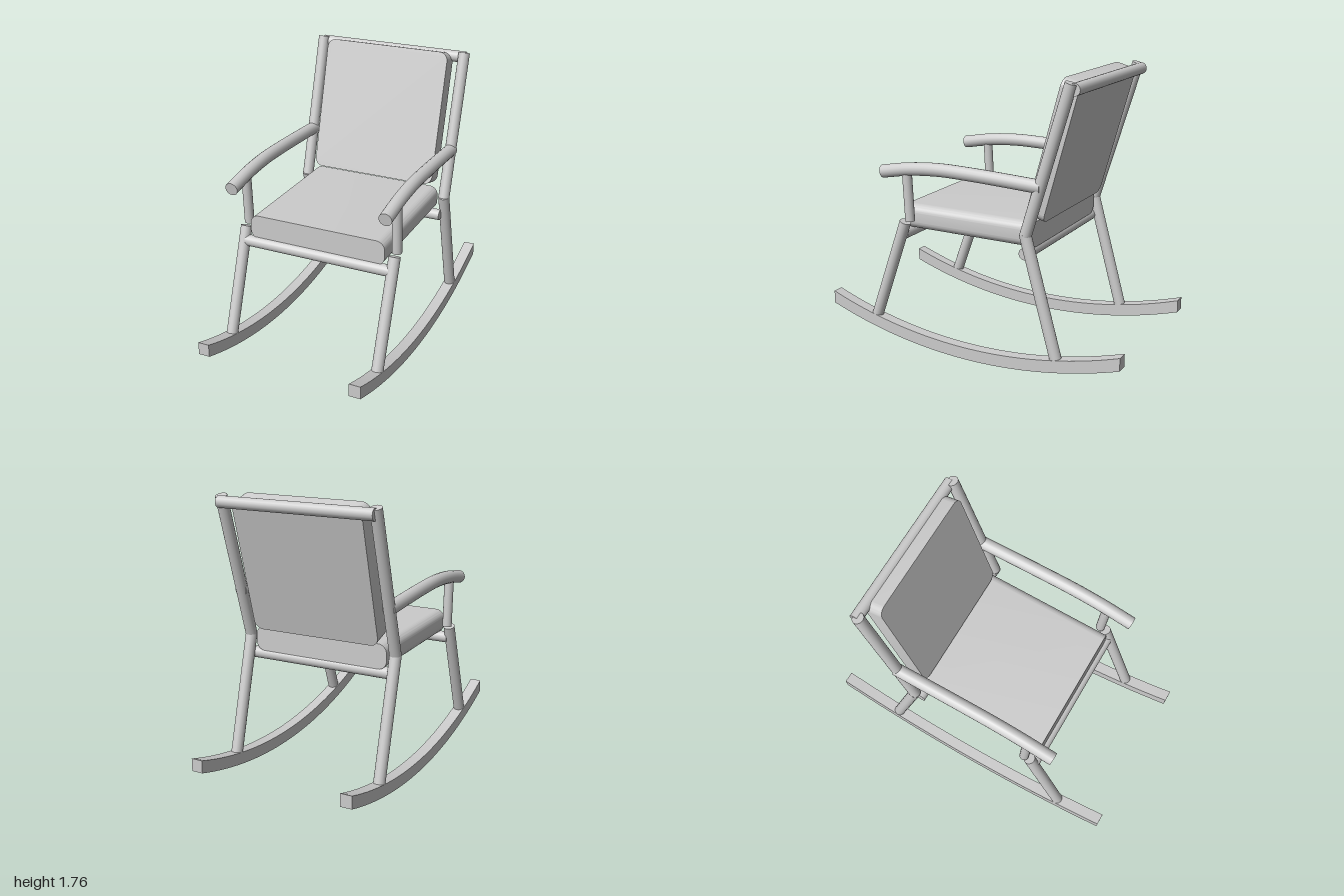
import * as THREE from 'three';
import { toCreasedNormals } from 'three/addons/utils/BufferGeometryUtils.js';

const material = new THREE.MeshStandardMaterial({ color: 0xcccccc });
const SIDE_X = 0.495; // centre line of each side frame
const ROD = 0.036;

function add(parent, name, geometry) {
  const mesh = new THREE.Mesh(geometry, material);
  mesh.name = name;
  parent.add(mesh);
  return mesh;
}

// Straight round rod between two points
function rod(parent, name, a, b, radius = ROD) {
  const start = new THREE.Vector3(...a);
  const dir = new THREE.Vector3(...b).sub(start);
  const mesh = add(parent, name, new THREE.CylinderGeometry(radius, radius, dir.length(), 20));
  mesh.position.copy(start).addScaledVector(dir, 0.5);
  mesh.quaternion.setFromUnitVectors(new THREE.Vector3(0, 1, 0), dir.normalize());
  return mesh;
}

// Slab with a rounded outline in x/y, centred, with depth along z
function cushion(width, height, depth, r) {
  const w = width / 2, h = height / 2;
  const shape = new THREE.Shape();
  shape.absarc(w - r, h - r, r, 0, Math.PI / 2);
  shape.absarc(-w + r, h - r, r, Math.PI / 2, Math.PI);
  shape.absarc(-w + r, -h + r, r, Math.PI, Math.PI * 1.5);
  shape.absarc(w - r, -h + r, r, Math.PI * 1.5, Math.PI * 2);
  const geometry = new THREE.ExtrudeGeometry(shape, { depth, bevelEnabled: false, curveSegments: 8 });
  geometry.translate(0, 0, -depth / 2);
  return toCreasedNormals(geometry, 0.6);
}

// Curved runner: two concentric arcs cut off vertically at the ends
function runnerGeometry() {
  const R = 3.05, thickness = 0.076, midZ = -0.05, width = 0.072, n = 32;
  const arc = (r) => Array.from({ length: n + 1 }, (_, i) => {
    const z = -1 + (2 * i) / n;
    return new THREE.Vector2(z, R - Math.sqrt(r * r - (z - midZ) ** 2));
  });
  const shape = new THREE.Shape([...arc(R), ...arc(R - thickness).reverse()]);
  const geometry = new THREE.ExtrudeGeometry(shape, { depth: width, bevelEnabled: false });
  geometry.translate(0, 0, -width / 2);
  geometry.rotateY(-Math.PI / 2);
  return toCreasedNormals(geometry, 0.6);
}

// Gently bowed round armrest with closed ends
function armrest(parent, x) {
  const radius = 0.041, sides = 16;
  const curve = new THREE.CatmullRomCurve3(
    [[0.6, 1.112], [0.4, 1.148], [0.2, 1.165], [0, 1.164], [-0.24, 1.156], [-0.485, 1.145]]
      .map(([z, y]) => new THREE.Vector3(x, y, z)));
  const group = new THREE.Group();
  group.name = 'armrest';
  add(group, 'armrestBar', new THREE.TubeGeometry(curve, 28, radius, sides));
  for (const t of [0, 1]) {
    const cap = add(group, 'armrestEnd', new THREE.CircleGeometry(radius, sides));
    cap.position.copy(curve.getPoint(t));
    const out = curve.getTangent(t).multiplyScalar(t ? 1 : -1);
    cap.quaternion.setFromUnitVectors(new THREE.Vector3(0, 0, 1), out);
  }
  parent.add(group);
}

export function createModel() {
  const chair = new THREE.Group();
  chair.name = 'rockingChair';

  // Mirrored side frames
  for (const [side, s] of [['left', 1], ['right', -1]]) {
    const x = s * SIDE_X;
    const frame = new THREE.Group();
    frame.name = side + 'Frame';
    add(frame, 'runner', runnerGeometry()).position.x = x;
    rod(frame, 'frontLeg', [x, 0.13, 0.692], [x, 0.81, 0.447]);
    rod(frame, 'rearLeg', [x, 0.1, -0.592], [x, 0.855, -0.381]);
    rod(frame, 'backPost', [x, 0.842, -0.383], [x, 1.742, -0.655]);
    rod(frame, 'armSupport', [x, 0.82, 0.411], [x, 1.14, 0.426], 0.03);
    armrest(frame, x);
    chair.add(frame);
  }

  // Cross bars
  const bar = (name, y, z, half) => rod(chair, name, [-half, y, z], [half, y, z]);
  bar('frontRail', 0.725, 0.475, 0.48);
  bar('rearRail', 0.725, -0.368, 0.48);
  bar('topRail', 1.708, -0.675, 0.5);

  // Cushions
  add(chair, 'seatCushion', cushion(0.89, 0.155, 0.88, 0.055)).position.set(0, 0.828, 0.04);
  const back = add(chair, 'backCushion', cushion(0.836, 0.85, 0.115, 0.055));
  back.position.set(0, 1.33, -0.508);
  back.rotation.x = -0.268;

  return chair;
}
